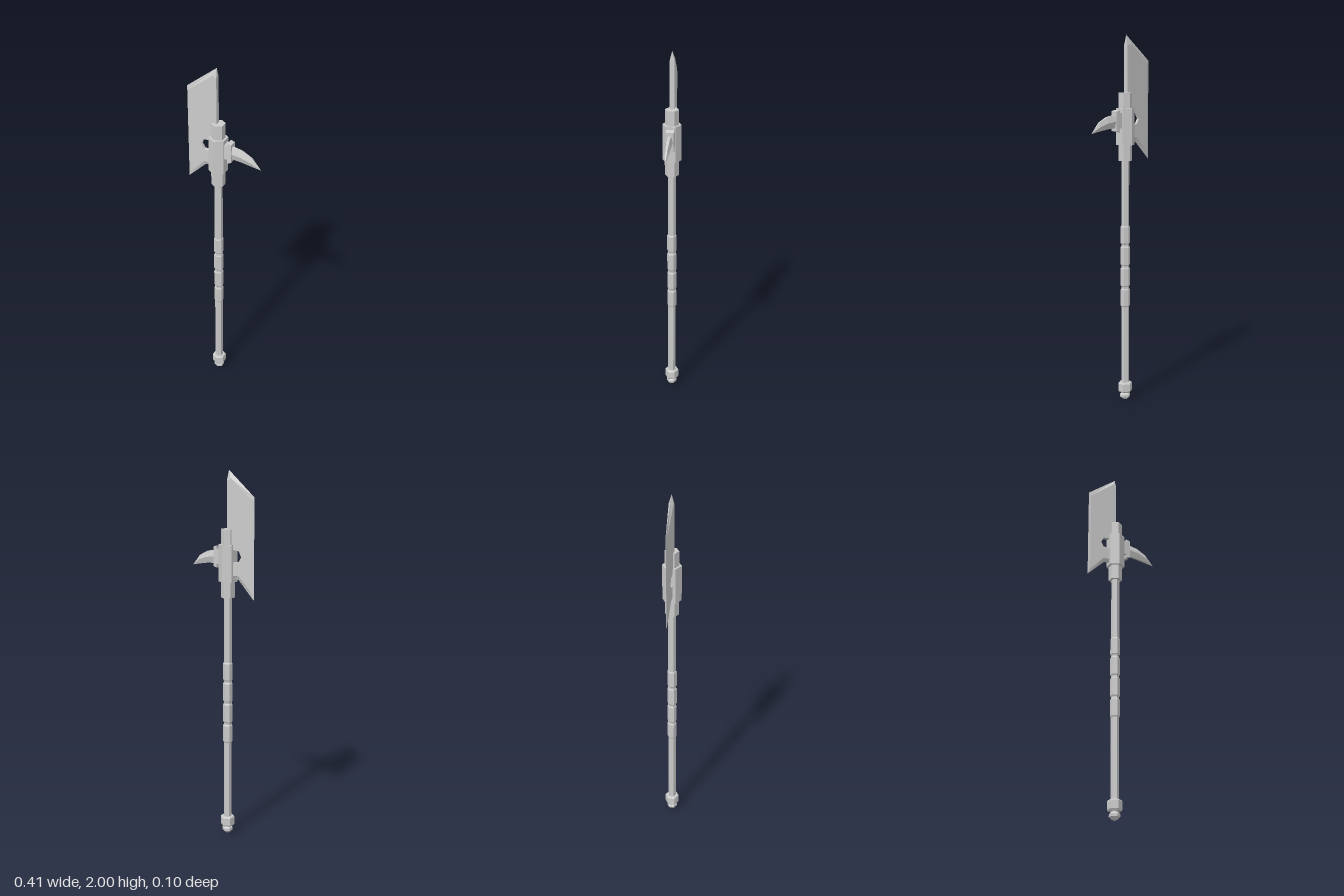
import * as THREE from 'three';

const AXIS = -0.034; // x of the shaft axis
const mat = new THREE.MeshStandardMaterial({ color: 0xcccccc, flatShading: true });

function add(parent, name, geometry, x = 0, y = 0, z = 0) {
  const mesh = new THREE.Mesh(geometry, mat);
  mesh.name = name;
  mesh.position.set(x, y, z);
  parent.add(mesh);
  return mesh;
}

// Six-sided turned part from [radius, y] points, bottom to top
function hexPart(parent, name, points) {
  const profile = points.map(([r, y]) => new THREE.Vector2(r, y));
  return add(parent, name, new THREE.LatheGeometry(profile, 6), AXIS);
}

// Closed skin over equal-length rings of points, counter-clockwise seen from the last ring
function loft(rings) {
  const pos = [];
  const tri = (a, b, c) => pos.push(...a, ...b, ...c);
  const n = rings[0].length;
  for (let r = 0; r < rings.length - 1; r++) {
    for (let i = 0; i < n; i++) {
      const j = (i + 1) % n;
      const [a, b, c, d] = [rings[r][i], rings[r][j], rings[r + 1][j], rings[r + 1][i]];
      tri(a, b, c);
      tri(a, c, d);
    }
  }
  const cap = (ring, axes, flip) => {
    const flat = ring.map(p => new THREE.Vector2(p[axes[0]], p[axes[1]]));
    for (const [a, b, c] of THREE.ShapeUtils.triangulateShape(flat, [])) {
      if (flip) tri(ring[a], ring[c], ring[b]);
      else tri(ring[a], ring[b], ring[c]);
    }
  };
  return { pos, cap };
}

function toGeometry(pos) {
  const g = new THREE.BufferGeometry();
  g.setAttribute('position', new THREE.Float32BufferAttribute(pos, 3));
  g.computeVertexNormals();
  return g;
}

// Blade: outer x, y, inner x, y of the bevel, and whether the rim is sharp
function bladeGeometry() {
  const outline = [
    [-0.04, 2.0, -0.058, 1.96, true],
    [-0.205, 1.867, -0.192, 1.85, true],
    [-0.205, 1.34, -0.192, 1.378, true],
    [-0.105, 1.44, -0.112, 1.46, true],
    [-0.05, 1.44, -0.05, 1.46, true],
    [-0.05, 1.527, -0.05, 1.527, false],
    [-0.112, 1.533, -0.112, 1.533, false],
    [-0.127, 1.56, -0.127, 1.56, false],
    [-0.112, 1.59, -0.112, 1.59, false],
    [-0.05, 1.597, -0.05, 1.597, false],
    [-0.037, 1.62, -0.058, 1.62, false],
    [-0.037, 1.95, -0.058, 1.945, false],
  ];
  const half = x => 0.004 + 0.009 * (x + 0.192) / 0.152; // thins toward the cutting edge
  const ring = (s, inner) => outline.map(([ox, oy, ix, iy, sharp]) => inner
    ? [ix, iy, s * half(ix)]
    : [ox, oy, sharp ? 0 : s * half(Math.min(ox, -0.05))]);
  const rings = [ring(-1, true), ring(-1, false), ring(1, false), ring(1, true)];
  const { pos, cap } = loft(rings);
  cap(rings[3], [0, 1], false);
  cap(rings[0], [0, 1], true);
  return toGeometry(pos);
}

// Curved horn: six-sided sections along x, [x, top, bottom, half width]
function hornGeometry() {
  const sections = [
    [0.04, 1.587, 1.517, 0.017],
    [0.1, 1.577, 1.513, 0.016],
    [0.155, 1.55, 1.504, 0.012],
    [0.205, 1.496, 1.494, 0.0005],
  ];
  const rings = sections.map(([x, t, b, w]) => {
    const m = (t + b) / 2;
    return [[x, t, w * 0.4], [x, t, -w * 0.4], [x, m, -w], [x, b, -w * 0.4], [x, b, w * 0.4], [x, m, w]]
      .reverse();
  });
  // ring runs clockwise toward +x after reversing, so turn it for outward faces
  rings.forEach(r => r.reverse());
  const { pos, cap } = loft(rings.map(r => orient(r)));
  const ends = rings.map(r => orient(r));
  cap(ends[ends.length - 1], [1, 2], false);
  cap(ends[0], [1, 2], true);
  return toGeometry(pos);
}

// Makes a ring run counter-clockwise in the y-z plane, seen from +x
function orient(ring) {
  const area = THREE.ShapeUtils.area(ring.map(p => new THREE.Vector2(p[1], p[2])));
  return area < 0 ? [...ring].reverse() : ring;
}

export function createModel() {
  const model = new THREE.Group();
  model.name = 'poleaxe';

  // Shaft
  hexPart(model, 'shaft', [[0, 0.06], [0.022, 0.06], [0.022, 1.4], [0, 1.4]]);

  // Grip wraps with pinched gaps
  const grip = new THREE.Group();
  grip.name = 'grip';
  model.add(grip);
  for (const [low, high] of [[0.535, 0.642], [0.648, 0.76], [0.766, 0.878], [0.884, 0.99]]) {
    hexPart(grip, 'gripWrap', [[0.021, low], [0.026, low + 0.009], [0.026, high - 0.009], [0.021, high]]);
  }

  // Pommel collar and end bead
  hexPart(model, 'pommelCollar', [[0, 0.048], [0.034, 0.048], [0.039, 0.056], [0.039, 0.098], [0.034, 0.104], [0, 0.104]]);
  hexPart(model, 'pommelBead', [[0, 0], [0.014, 0.006], [0.029, 0.02], [0.029, 0.034], [0.02, 0.042], [0.02, 0.05]]);

  // Head socket: slim sleeve inside a wider block
  hexPart(model, 'socketSleeve', [[0, 1.34], [0.037, 1.34], [0.037, 1.7], [0, 1.7]]);
  hexPart(model, 'socketBlock', [[0, 1.425], [0.05, 1.425], [0.05, 1.62], [0, 1.62]]);

  add(model, 'blade', bladeGeometry());

  // Horn with its stepped mount
  add(model, 'hornNeck', new THREE.BoxGeometry(0.03, 0.08, 0.042), 0.015, 1.555, 0);
  const plate = new THREE.BoxGeometry(0.022, 0.116, 0.042);
  const p = plate.attributes.position;
  for (let i = 0; i < p.count; i++) if (p.getX(i) > 0) p.setY(i, p.getY(i) * 0.88);
  plate.computeVertexNormals();
  add(model, 'hornPlate', plate, 0.037, 1.553, 0);
  add(model, 'horn', hornGeometry());

  return model;
}
